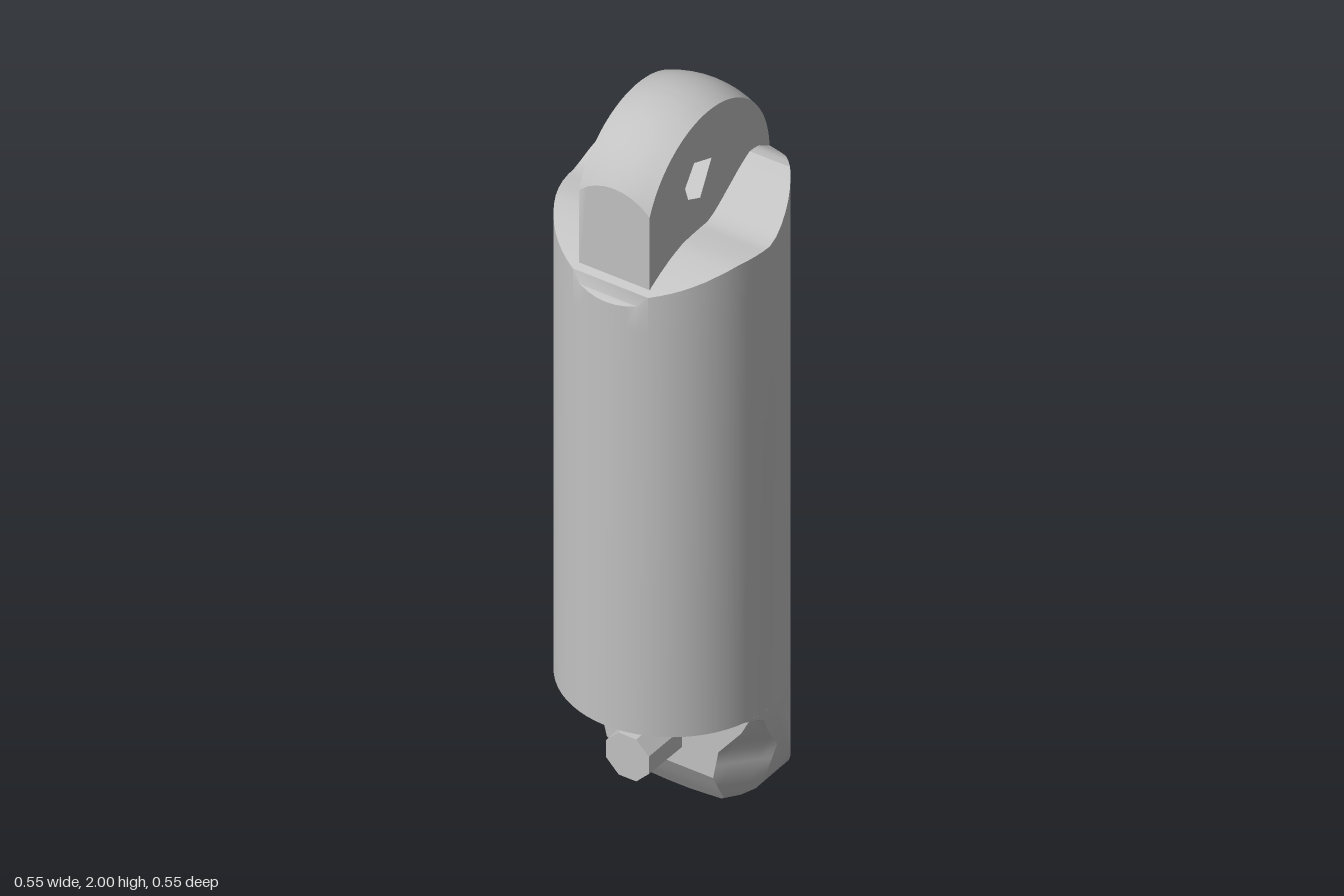
import * as THREE from 'three';
import { toCreasedNormals } from 'three/addons/utils/BufferGeometryUtils.js';

const R = 0.277, N = 64, LUG_Y = 1.723, LUG_FRONT = 0.24;

// Piecewise-linear lookup in a short list of [input, output] pairs
function lookup(table, v) {
  if (v <= table[0][0]) return table[0][1];
  for (let i = 1; i < table.length; i++) {
    const [a, p] = table[i - 1], [b, q] = table[i];
    if (v <= b) return p + (q - p) * (v - a) / (b - a);
  }
  return table[table.length - 1][1];
}

// Scalloped rim: height by depth
const RIM = [[-0.277, 1.723], [-0.25, 1.737], [-0.21, 1.762], [-0.175, 1.765], [-0.14, 1.748], [-0.05, 1.69],
  [-0.01, 1.667], [0.05, 1.667], [0.1, 1.665], [0.15, 1.652], [0.2, 1.632], [0.24, 1.612], [0.257, 1.6], [0.262, 1.575], [0.277, 1.56]];
// Foot: half width, front depth and half width of the flat front, each by height
const WIDTH = [[0, 0.03], [0.005, 0.07], [0.015, 0.13], [0.03, 0.17], [0.05, 0.2], [0.11, 0.235], [0.2, 0.26], [0.3, 0.275], [0.345, 0.277]];
const FRONT = [[0, -0.025], [0.06, 0.015], [0.12, 0.05], [0.32, 0.05], [0.335, 0.06], [0.345, 0.085]];
const FLAT = [[0, 0.14], [0.12, 0.15], [0.2, 0.165], [0.28, 0.23], [0.32, 0.25], [0.345, 0.277]];

// Round ring whose height follows its depth
function roundRing(heightAt) {
  return Array.from({ length: N }, (_, i) => {
    const a = i / N * Math.PI * 2, z = R * Math.cos(a);
    return [R * Math.sin(a), heightAt(z), z];
  });
}

// Foot ring: flat front, chamfer, straight side, then the round back, mirrored
function footRing(y) {
  const w = lookup(WIDTH, y), front = lookup(FRONT, y), flat = Math.min(w, lookup(FLAT, y));
  const join = -Math.sqrt(R * R - w * w);
  const side = Math.max(front - 1.1 * (w - flat), join);
  const half = [];
  for (let i = 0; i <= N / 2; i++) {
    let x = w, z;
    if (i <= 8) {
      x = flat * i / 8;
      z = front;
    } else if (i <= 12) {
      const t = (i - 8) / 4;
      x = flat + (w - flat) * t;
      z = front + (side - front) * t;
    } else if (i <= 16) {
      z = side + (join - side) * (i - 12) / 4;
    } else {
      const a = Math.asin(w / R) * (32 - i) / 16;
      x = R * Math.sin(a);
      z = -R * Math.cos(a);
    }
    half.push([Math.min(x, Math.sqrt(Math.max(0, R * R - z * z))), y, z]);
  }
  return [...half, ...half.slice(1, -1).reverse().map(([x, h, z]) => [-x, h, z])];
}

function bodyGeometry() {
  const rings = [0, 0.005, 0.015, 0.03, 0.05, 0.08, 0.12, 0.16, 0.2, 0.24, 0.28, 0.32, 0.335, 0.345].map(footRing);
  rings.push(roundRing(() => 0.345), roundRing(() => 1.5), roundRing(z => lookup(RIM, z)));
  const index = [];
  const quad = (a, b, c, d) => index.push(a, b, c, a, c, d);
  for (let k = 0; k < rings.length - 1; k++) {
    for (let i = 0; i < N; i++) {
      const j = (i + 1) % N, lo = k * N, hi = lo + N;
      quad(lo + i, lo + j, hi + j, hi + i);
    }
  }
  // End caps as strips running across the body
  const top = (rings.length - 1) * N;
  for (let i = 0; i < N / 2; i++) {
    const a = i, b = i + 1, c = N - i - 1, d = (N - i) % N;
    quad(top + a, top + b, top + c, top + d);
    quad(d, c, b, a);
  }
  const g = new THREE.BufferGeometry();
  g.setAttribute('position', new THREE.Float32BufferAttribute(rings.flat(2), 3));
  g.setIndex(index);
  return toCreasedNormals(g, 0.5);
}

// Domed lug with a flat front and a five-sided eye, drawn with shape x = -z
function lugGeometry() {
  const sweep = r => Math.PI - Math.acos(LUG_FRONT / r);
  const s = new THREE.Shape();
  s.moveTo(0.2, 1.6);
  s.lineTo(-LUG_FRONT, 1.55);
  s.absarc(0, LUG_Y, R, sweep(R), 0, true);
  s.closePath();
  s.holes.push(new THREE.Path([[-0.093, 1.815], [-0.055, 1.867], [0.017, 1.84], [-0.03, 1.753], [-0.08, 1.776]]
    .map(p => new THREE.Vector2(...p))));
  const g = new THREE.ExtrudeGeometry(s, { depth: 0.2, steps: 8, bevelEnabled: false, curveSegments: 32 });
  g.translate(0, 0, -0.1).rotateY(Math.PI / 2);
  // Draw the arc in towards a sphere, keeping the front flat
  const p = g.attributes.position;
  for (let i = 0; i < p.count; i++) {
    const y = p.getY(i) - LUG_Y, z = p.getZ(i);
    if (Math.hypot(y, z) < R - 0.001 || y < -0.001) continue;
    const r = Math.sqrt(R * R - p.getX(i) ** 2);
    const a = Math.atan2(Math.max(y, 0), -z) / sweep(R) * sweep(r);
    p.setY(i, LUG_Y + r * Math.sin(a));
    p.setZ(i, -r * Math.cos(a));
  }
  return toCreasedNormals(g, 0.5);
}

export function createModel() {
  const model = new THREE.Group();
  const grey = new THREE.MeshStandardMaterial({ color: 0xc2c2c2 });
  grey.name = 'light grey';
  const add = (name, geometry) => {
    const mesh = new THREE.Mesh(geometry, grey);
    mesh.name = name;
    model.add(mesh);
  };
  add('body', bodyGeometry());
  add('topLug', lugGeometry());
  // Faceted peg on the foot
  const peg = new THREE.CylinderGeometry(0.065, 0.068, 0.165, 8).rotateY(Math.PI / 8).rotateX(Math.PI / 2);
  add('peg', toCreasedNormals(peg.translate(0, 0.2, 0.1025), 0.5));
  return model;
}
